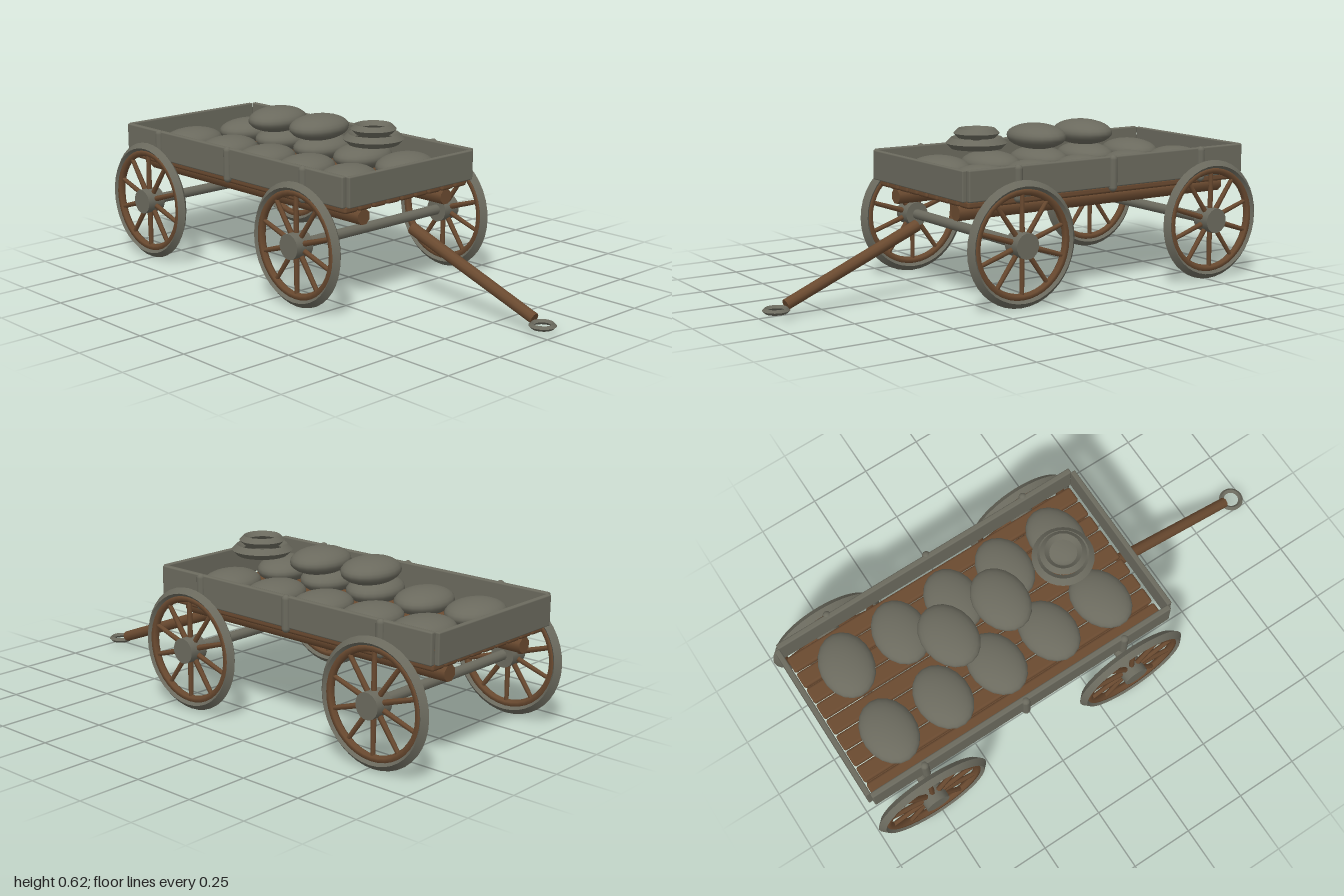
import * as THREE from 'three';
import { RoundedBoxGeometry } from 'three/addons/geometries/RoundedBoxGeometry.js';
import { toCreasedNormals } from 'three/addons/utils/BufferGeometryUtils.js';

export function createModel() {
  const wagon = new THREE.Group();
  wagon.name = 'wagon';
  const grey = new THREE.MeshStandardMaterial({ name: 'weathered grey', color: 0x6b6a5e });
  const wood = new THREE.MeshStandardMaterial({ name: 'brown wood', color: 0x6a4a30 });

  const add = (parent, name, geo, mat, x = 0, y = 0, z = 0) => {
    const mesh = new THREE.Mesh(geo, mat);
    mesh.name = name;
    mesh.position.set(x, y, z);
    parent.add(mesh);
    return mesh;
  };
  // Round bar between two points
  const rod = (parent, name, a, b, r0, r1, sides, mat) => {
    const from = new THREE.Vector3(...a), to = new THREE.Vector3(...b);
    const dir = to.clone().sub(from);
    const geo = new THREE.CylinderGeometry(r1, r0, dir.length(), sides);
    geo.rotateY(Math.PI / sides);
    const mesh = add(parent, name, geo, mat, ...from.add(to).multiplyScalar(0.5).toArray());
    mesh.quaternion.setFromUnitVectors(new THREE.Vector3(0, 1, 0), dir.normalize());
    return mesh;
  };
  // Ring with a diamond section, crisp along its four edges
  const ring = (R, tube, around) => toCreasedNormals(new THREE.TorusGeometry(R, tube, 4, around), 0.8);

  // Wheels and axles
  const axleY = 0.238, spokes = 10;
  for (const x of [-0.765, 0.135]) {
    rod(wagon, 'axle', [x, axleY, -0.39], [x, axleY, 0.39], 0.02, 0.02, 12, grey);
    for (const side of [-1, 1]) {
      const wheel = new THREE.Group();
      wheel.name = 'wheel';
      wheel.position.set(x, axleY, side * 0.39);
      wagon.add(wheel);
      add(wheel, 'tire', ring(0.216, 0.0205, 40), grey);
      add(wheel, 'woodenRim', new THREE.TorusGeometry(0.196, 0.015, 6, 40), wood);
      rod(wheel, 'hub', [0, 0, -0.039], [0, 0, 0.039], 0.049, 0.049, 16, grey);
      for (let i = 0; i < spokes; i++) {
        const a = Math.PI / 2 + (i / spokes) * Math.PI * 2;
        const c = Math.cos(a), s = Math.sin(a);
        rod(wheel, 'spoke', [c * 0.03, s * 0.03, 0], [c * 0.19, s * 0.19, 0], 0.011, 0.009, 6, wood);
      }
    }
  }

  // Bed planks on two long rails
  const midX = -0.318;
  for (let i = -4; i <= 4; i++) {
    add(wagon, 'bedPlank', new RoundedBoxGeometry(1.28, 0.029, 0.066, 2, 0.01), wood, midX, 0.389, i * 0.072);
  }
  for (const side of [-1, 1]) {
    const z = side * 0.217;
    rod(wagon, 'bedRail', [-0.95, 0.346, z], [0.31, 0.346, z], 0.031, 0.031, 8, wood).material = wood;
  }

  // Box walls and upright stakes
  for (const side of [-1, 1]) {
    add(wagon, 'sideBoard', new RoundedBoxGeometry(1.3, 0.118, 0.022, 2, 0.006), grey, midX, 0.461, side * 0.334);
    add(wagon, 'endBoard', new RoundedBoxGeometry(0.02, 0.116, 0.65, 2, 0.005), grey, midX + side * 0.656, 0.46, 0);
    for (const x of [-0.75, -0.315, 0.12]) {
      add(wagon, 'stake', new THREE.CapsuleGeometry(0.0165, 0.107, 4, 10), grey, x, 0.455, side * 0.343);
    }
  }

  // Sacks: two rows in the bed and two on top
  const sackGeo = new THREE.SphereGeometry(1, 20, 14);
  const sack = (x, y, z, yaw) => {
    const mesh = add(wagon, 'sack', sackGeo, grey, x, y, z);
    mesh.scale.set(0.103, 0.05, 0.134);
    mesh.rotation.y = yaw;
  };
  for (let i = 0; i < 5; i++) {
    const x = -0.785 + i * 0.2335;
    sack(x, 0.452, -0.155, -0.12 + i * 0.07);
    sack(x, 0.452, 0.147, 0.04 + i * 0.05);
  }
  sack(-0.422, 0.572, -0.005, 0.13);
  sack(-0.188, 0.572, -0.018, 0.08);

  // Coiled rope in two tiers
  for (const [R, tube, y] of [[0.097, 0.021, 0.569], [0.07, 0.018, 0.606]]) {
    add(wagon, 'ropeCoil', ring(R, tube, 32), grey, 0.1, y, -0.035).rotation.x = Math.PI / 2;
  }

  // Draw tongue with its end ring
  rod(wagon, 'tongue', [0.345, 0.27, 0], [0.91, 0.048, -0.036], 0.023, 0.021, 10, wood);
  add(wagon, 'tongueRing', ring(0.04, 0.01, 24), grey, 0.948, 0.033, -0.036).rotation.x = Math.PI / 2;

  return wagon;
}
